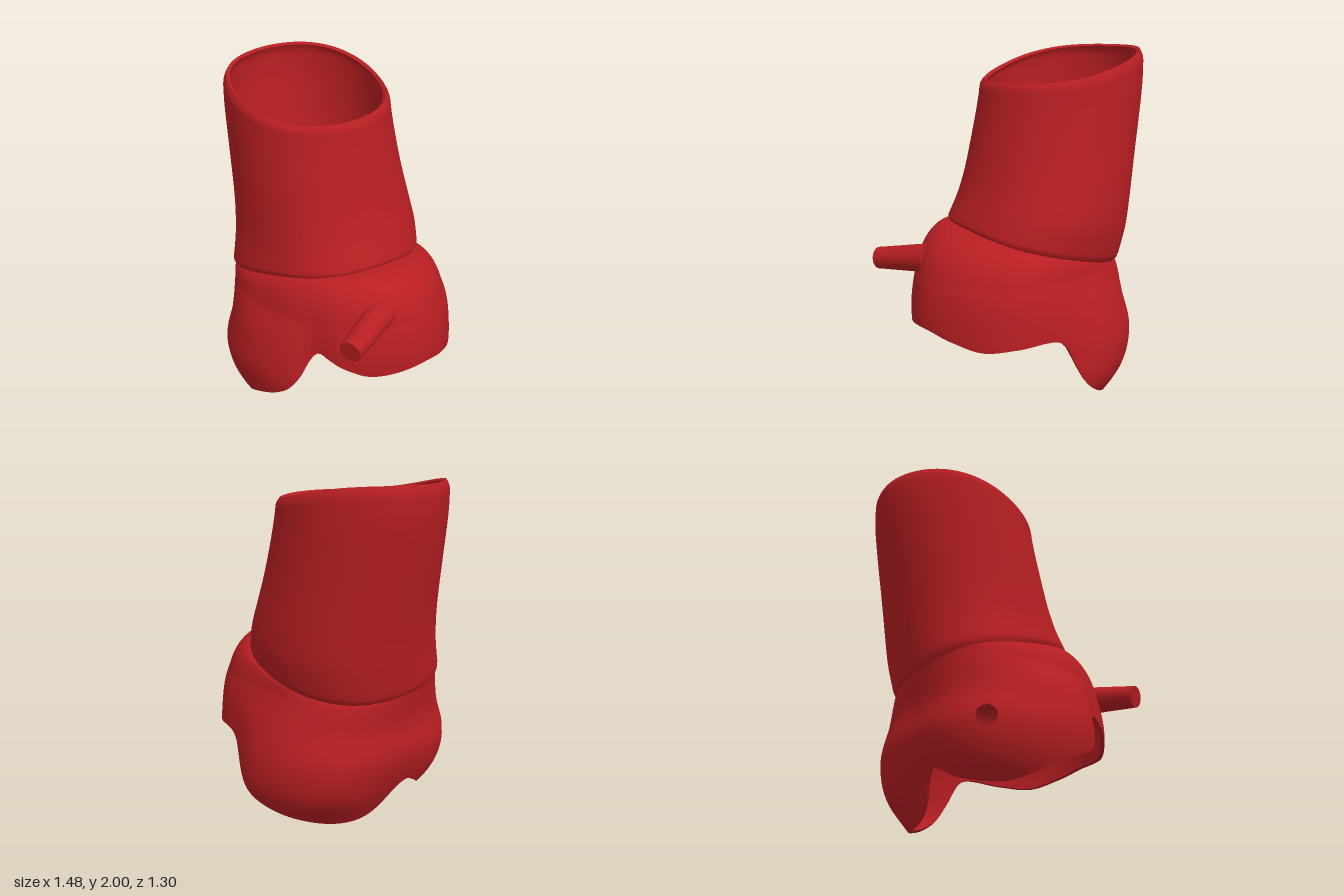
import * as THREE from 'three';
import { toCreasedNormals } from 'three/addons/utils/BufferGeometryUtils.js';

const { lerp, clamp, degToRad, radToDeg } = THREE.MathUtils;

// Smooth curve through [x, value] keys; repeats when a period is given.
function spline(keys, x, period = 0) {
  const n = keys.length;
  if (period) x = ((x % period) + period) % period;
  else x = clamp(x, keys[0][0], keys[n - 1][0]);
  const at = (i) => {
    if (!period) return keys[clamp(i, 0, n - 1)];
    const turn = Math.floor(i / n);
    return [keys[i - turn * n][0] + turn * period, keys[i - turn * n][1]];
  };
  let i = 0;
  while (i < n - (period ? 1 : 2) && x >= at(i + 1)[0]) i++;
  const [p, a, b, q] = [at(i - 1), at(i), at(i + 1), at(i + 2)];
  const h = b[0] - a[0], t = (x - a[0]) / h;
  const ma = (b[1] - p[1]) / (b[0] - p[0]) * h, mb = (q[1] - a[1]) / (q[0] - a[0]) * h;
  const t2 = t * t, t3 = t2 * t;
  return (2 * t3 - 3 * t2 + 1) * a[1] + (t3 - 2 * t2 + t) * ma + (3 * t2 - 2 * t3) * b[1] + (t3 - t2) * mb;
}

// Closed-around wall with thickness; point(angle, v) runs from bottom (v=0) to top (v=1).
// hole(p), if given, returns how far p is inside the hole and the nearest point on its edge.
function thickWall(point, nu, nv, thickness, hole) {
  const pts = [], full = [], skin = [], id = (i, j) => j * nu + (i + nu) % nu;
  for (let j = 0; j <= nv; j++)
    for (let i = 0; i < nu; i++) pts.push(point(i / nu * Math.PI * 2, j / nv));
  const corners = (i, j) => [id(i, j), id(i, j + 1), id(i + 1, j + 1), id(i + 1, j)];
  const quad = (list, [a, b, c, d]) => list.push(a, b, c, a, c, d);

  // Drop the quads whose middle lies inside the hole
  const cutQuads = new Set();
  for (let j = 0; j < nv; j++)
    for (let i = 0; i < nu; i++) {
      const c = corners(i, j);
      quad(full, c);
      const middle = c.reduce((s, k) => s.addScaledVector(pts[k], 0.25), new THREE.Vector3());
      if (hole && hole(middle).depth > 0) cutQuads.add(id(i, j));
      else quad(skin, c);
    }
  const cut = (i, j) => j >= 0 && j < nv && cutQuads.has(id(i, j));

  // Inner skin follows the outer one along its normals
  const outer = new THREE.BufferGeometry().setFromPoints(pts);
  outer.setIndex(full);
  outer.computeVertexNormals();
  const normals = outer.attributes.normal, N = pts.length;
  for (const q of cutQuads)
    for (const k of corners(q % nu, Math.floor(q / nu))) pts[k] = hole(pts[k]).edge;
  const inner = pts.map((p, k) =>
    p.clone().addScaledVector(new THREE.Vector3().fromBufferAttribute(normals, k), -thickness));
  const faces = skin.slice();
  for (let k = 0; k < skin.length; k += 3) faces.push(skin[k] + N, skin[k + 2] + N, skin[k + 1] + N);

  // Edges of the wall: bottom rim, top rim and around the hole
  const edge = (a, b) => quad(faces, [a, b, b + N, a + N]);
  for (let i = 0; i < nu; i++) {
    edge(id(i, 0), id(i + 1, 0));
    edge(id(i + 1, nv), id(i, nv));
    for (let j = 0; j < nv; j++) {
      if (!cut(i, j)) continue;
      if (!cut(i, j - 1)) edge(id(i + 1, j), id(i, j));
      if (!cut(i, j + 1)) edge(id(i, j + 1), id(i + 1, j + 1));
      if (!cut(i - 1, j)) edge(id(i, j), id(i, j + 1));
      if (!cut(i + 1, j)) edge(id(i + 1, j + 1), id(i + 1, j));
    }
  }
  const g = new THREE.BufferGeometry().setFromPoints(pts.concat(inner));
  g.setIndex(faces);
  return toCreasedNormals(g, 0.9);
}

// Tube: centre and radii by height fraction
const TUBE_X = [[0, -0.065], [0.33, -0.143], [0.66, -0.215], [0.85, -0.25], [1, -0.264]];
const TUBE_RX = [[0, 0.495], [0.33, 0.475], [0.66, 0.482], [0.85, 0.485], [1, 0.478]];
const TUBE_Z = [[0, -0.022], [0.2, -0.055], [0.6, -0.05], [1, -0.045]];
const TUBE_RZ = [[0, 0.49], [0.2, 0.495], [0.6, 0.477], [1, 0.46]];
// Corners of the base stand out from the ellipse: [degrees, extra radius]
const TUBE_CORNERS = [[0, 0], [45, 0.018], [90, 0], [135, 0.075], [180, 0], [225, 0], [270, 0], [315, 0.036]];
const seamY = (a) => 0.9 + 0.125 * Math.cos(a) + 0.045 * Math.sin(a);
const topY = (a) => 1.917 - 0.076 * Math.sin(Math.PI / 2 * Math.cos(a)) - 0.02 * Math.sin(a);

function tubePoint(a, v) {
  // both ends are slightly rounded in
  const round = 0.016 * Math.max(0, 1 - v / 0.03) ** 2 + 0.02 * Math.max(0, (v - 0.95) / 0.05) ** 2;
  const extra = spline(TUBE_CORNERS, radToDeg(a), 360) * (1 - v) ** 2 - round;
  return new THREE.Vector3(
    spline(TUBE_X, v) + (spline(TUBE_RX, v) + extra) * Math.cos(a),
    lerp(seamY(a), topY(a), v),
    spline(TUBE_Z, v) + (spline(TUBE_RZ, v) + extra) * Math.sin(a));
}

// Flared shell: angle in degrees, then its radius at each of the heights
const HEIGHTS = [0, 0.2, 0.4, 0.6, 0.8];
const FLARE = [
  [0, 0.6, 0.7, 0.73, 0.735, 0.7],
  [27, 0.55, 0.62, 0.66, 0.67, 0.64],
  [40, 0.52, 0.59, 0.62, 0.64, 0.61],
  [54, 0.48, 0.56, 0.585, 0.585, 0.57],
  [68, 0.46, 0.58, 0.63, 0.61, 0.56],
  [90, 0.46, 0.59, 0.645, 0.62, 0.55],
  [135, 0.4, 0.58, 0.64, 0.6, 0.585],
  [180, 0.38, 0.48, 0.545, 0.53, 0.55],
  [225, 0.44, 0.59, 0.63, 0.59, 0.57],
  [252, 0.5, 0.625, 0.65, 0.6, 0.54],
  [270, 0.52, 0.64, 0.648, 0.6, 0.53],
  [289, 0.56, 0.625, 0.63, 0.61, 0.57],
  [315, 0.6, 0.66, 0.69, 0.68, 0.65],
];
// Wavy lower rim: [degrees, height]
const RIM = [
  [0, 0.525], [25, 0.5], [38, 0.55], [47, 0.6], [52, 0.62], [57, 0.56], [62, 0.45], [70, 0.35],
  [90, 0.245], [112, 0.13], [128, 0.105], [150, 0.14], [160, 0.19], [168, 0.22], [175, 0.18],
  [183, 0.1], [192, 0.04], [206, 0.005], [226, 0.005], [243, 0.04], [260, 0.09], [270, 0.14],
  [278, 0.21], [284, 0.32], [290, 0.45], [298, 0.49], [315, 0.47], [330, 0.45], [345, 0.49],
];

function shellPoint(a, v) {
  const deg = radToDeg(a);
  const seam = tubePoint(a, 0);
  const y = lerp(spline(RIM, deg, 360), seam.y, 1 - (1 - v) ** 1.3);
  const levels = HEIGHTS.map((h, k) => [h, spline(FLARE.map((row) => [row[0], row[k + 1]]), deg, 360)]);
  const r = spline(levels, y);
  // rounded shoulder from the seam out to the flare
  const k = clamp((seam.y - y) / 0.3, 0, 1), m = Math.sqrt(k * (2 - k));
  return new THREE.Vector3(lerp(seam.x, r * Math.cos(a), m), y, lerp(seam.z, r * Math.sin(a), m));
}

// Round hole through the shell wall
const HOLE_ANGLE = degToRad(132), HOLE_Y = 0.42, HOLE_R = 0.06;
function pinHole(p) {
  const r = Math.hypot(p.x, p.z), a = Math.atan2(p.z, p.x);
  const s = (a - HOLE_ANGLE) * r, t = p.y - HOLE_Y, d = Math.hypot(s, t);
  const f = HOLE_R / Math.max(d, 1e-4), b = HOLE_ANGLE + s * f / r;
  return { depth: HOLE_R - d, edge: new THREE.Vector3(r * Math.cos(b), HOLE_Y + t * f, r * Math.sin(b)) };
}

export function createModel() {
  const group = new THREE.Group();
  const material = new THREE.MeshStandardMaterial({ color: 0xb71e22 });
  const add = (name, geometry) => {
    const mesh = new THREE.Mesh(geometry, material);
    mesh.name = name;
    group.add(mesh);
    return mesh;
  };

  add('tube', thickWall(tubePoint, 96, 60, 0.022));
  add('flaredShell', thickWall(shellPoint, 220, 50, 0.025, pinHole));

  // Slanted peg on the shell's left front
  const from = new THREE.Vector3(0.565, 0.86, 0.17), to = new THREE.Vector3(0.665, 0.805, 0.515);
  const peg = add('peg', new THREE.CylinderGeometry(0.063, 0.083, from.distanceTo(to), 32));
  peg.position.copy(from).lerp(to, 0.5);
  peg.quaternion.setFromUnitVectors(new THREE.Vector3(0, 1, 0), to.clone().sub(from).normalize());

  return group;
}
